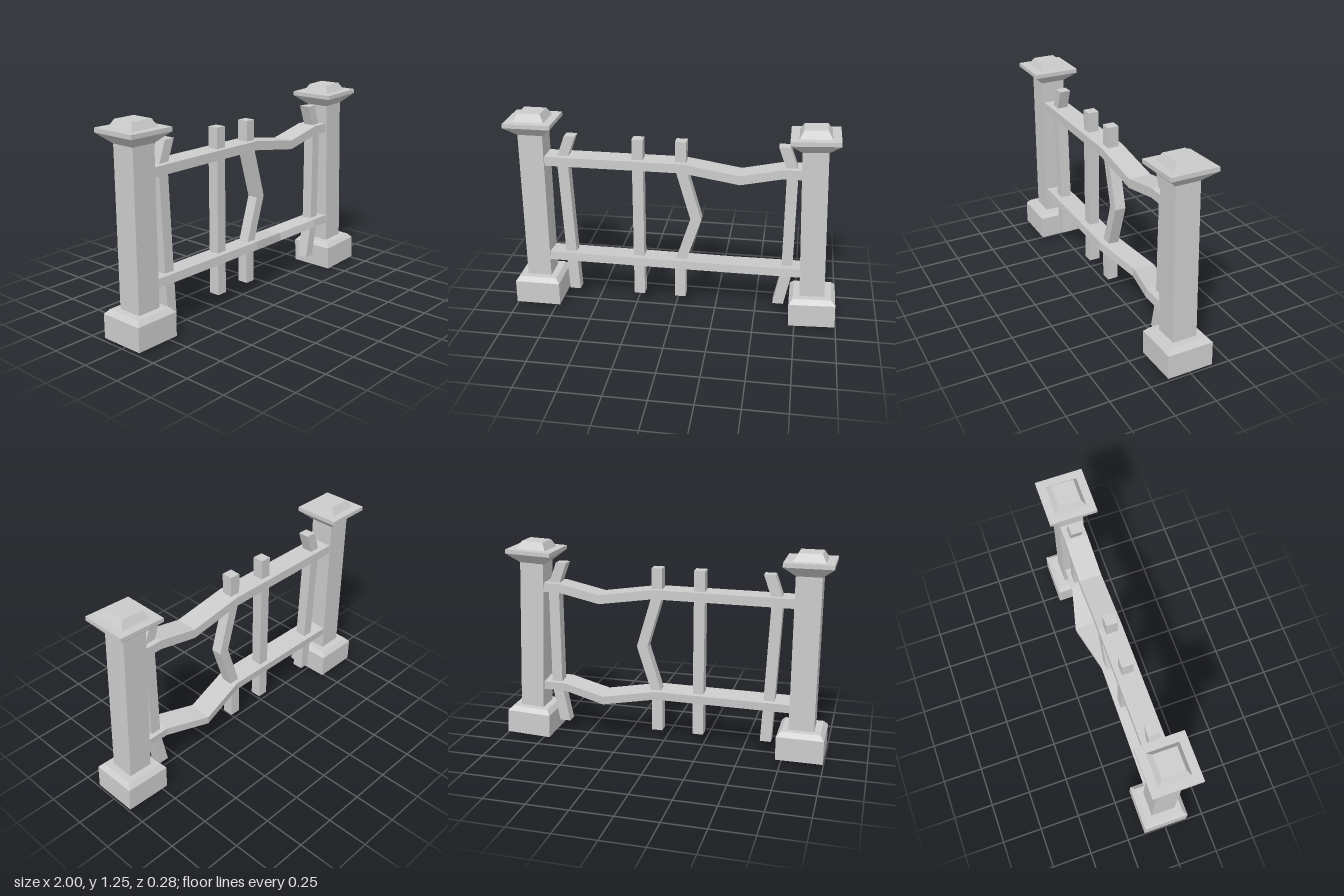
import * as THREE from 'three';

const material = new THREE.MeshStandardMaterial({ color: 0xcccccc, flatShading: true });
const shellMaterial = material.clone();
shellMaterial.side = THREE.DoubleSide;

function addMesh(parent, name, geometry, mat = material) {
  const mesh = new THREE.Mesh(geometry, mat);
  mesh.name = name;
  parent.add(mesh);
  return mesh;
}

// Square stack from [half width, height] pairs, bottom to top
function squareLathe(profile) {
  const points = profile.map(([half, y]) => new THREE.Vector2(half * Math.SQRT2, y));
  return new THREE.LatheGeometry(points, 4, Math.PI / 4);
}

// Bent beam: a segmented box whose cross-sections are moved onto the path points.
// axis 'x' is a rail, axis 'y' a picket; tilt rolls a rail's section.
function bentBeam(axis, path, thickness, depth, tilt = 0) {
  const n = path.length - 1;
  const geometry = axis === 'x'
    ? new THREE.BoxGeometry(n, thickness, depth, n, 1, 1)
    : new THREE.BoxGeometry(thickness, n, depth, 1, n, 1);
  const pos = geometry.attributes.position;
  const v = new THREE.Vector3();
  for (let i = 0; i < pos.count; i++) {
    v.fromBufferAttribute(pos, i);
    const station = path[Math.round(v[axis] + n / 2)];
    v[axis] = 0;
    v.applyAxisAngle(new THREE.Vector3(1, 0, 0), tilt);
    pos.setXYZ(i, v.x + station[0], v.y + station[1], v.z + station[2]);
  }
  geometry.computeVertexNormals();
  return geometry;
}

function createPillar(name) {
  const pillar = new THREE.Group();
  pillar.name = name;
  // Plinth is a shell, open underneath
  addMesh(pillar, 'plinth', squareLathe([[0.14, 0.02], [0.14, 0.165], [0.115, 0.193], [0, 0.193]]), shellMaterial);
  addMesh(pillar, 'shaft', squareLathe([[0, 0.19], [0.075, 0.19], [0.075, 1.125], [0, 1.125]]));
  addMesh(pillar, 'cap', squareLathe([
    [0, 1.12], [0.075, 1.12], [0.142, 1.18], [0.142, 1.205],
    [0.093, 1.205], [0.067, 1.25], [0, 1.25],
  ]));
  return pillar;
}

export function createModel() {
  const fence = new THREE.Group();
  fence.name = 'brokenFence';

  // Pillars, the left one leaning inward
  const rightPillar = createPillar('rightPillar');
  rightPillar.position.x = -0.858;
  const leftPillar = createPillar('leftPillar');
  leftPillar.position.set(0.856, -0.014, 0);
  leftPillar.rotation.z = THREE.MathUtils.degToRad(2.4);
  fence.add(rightPillar, leftPillar);

  // Rails with a sagging, dented stretch
  addMesh(fence, 'topRail', bentBeam('x', [
    [-0.79, 0.958, -0.003], [0.05, 0.958, -0.003], [0.387, 0.905, -0.003],
    [0.635, 0.958, -0.003], [0.78, 0.958, -0.003],
  ], 0.056, 0.136));
  addMesh(fence, 'bottomRail', bentBeam('x', [
    [-0.79, 0.325, 0], [0.04, 0.325, 0.008], [0.355, 0.287, -0.06],
    [0.625, 0.325, 0.008], [0.78, 0.325, 0.008],
  ], 0.052, 0.14, -0.08));

  // Pickets as [x, y] paths, some bent
  const pickets = [
    [[-0.643, 0.085], [-0.655, 0.325], [-0.683, 0.97], [-0.632, 1.11]],
    [[-0.225, 0.085], [-0.225, 1.11]],
    [[0.033, 0.085], [0.033, 0.325], [0.127, 0.62], [0.033, 0.94], [0.033, 1.11]],
    [[0.643, 0.085], [0.687, 0.31], [0.687, 0.97], [0.634, 1.11]],
  ];
  pickets.forEach((path, i) => {
    const stations = path.map(([x, y]) => [x, y, -0.004]);
    addMesh(fence, `picket${i + 1}`, bentBeam('y', stations, 0.066, 0.068));
  });

  return fence;
}
